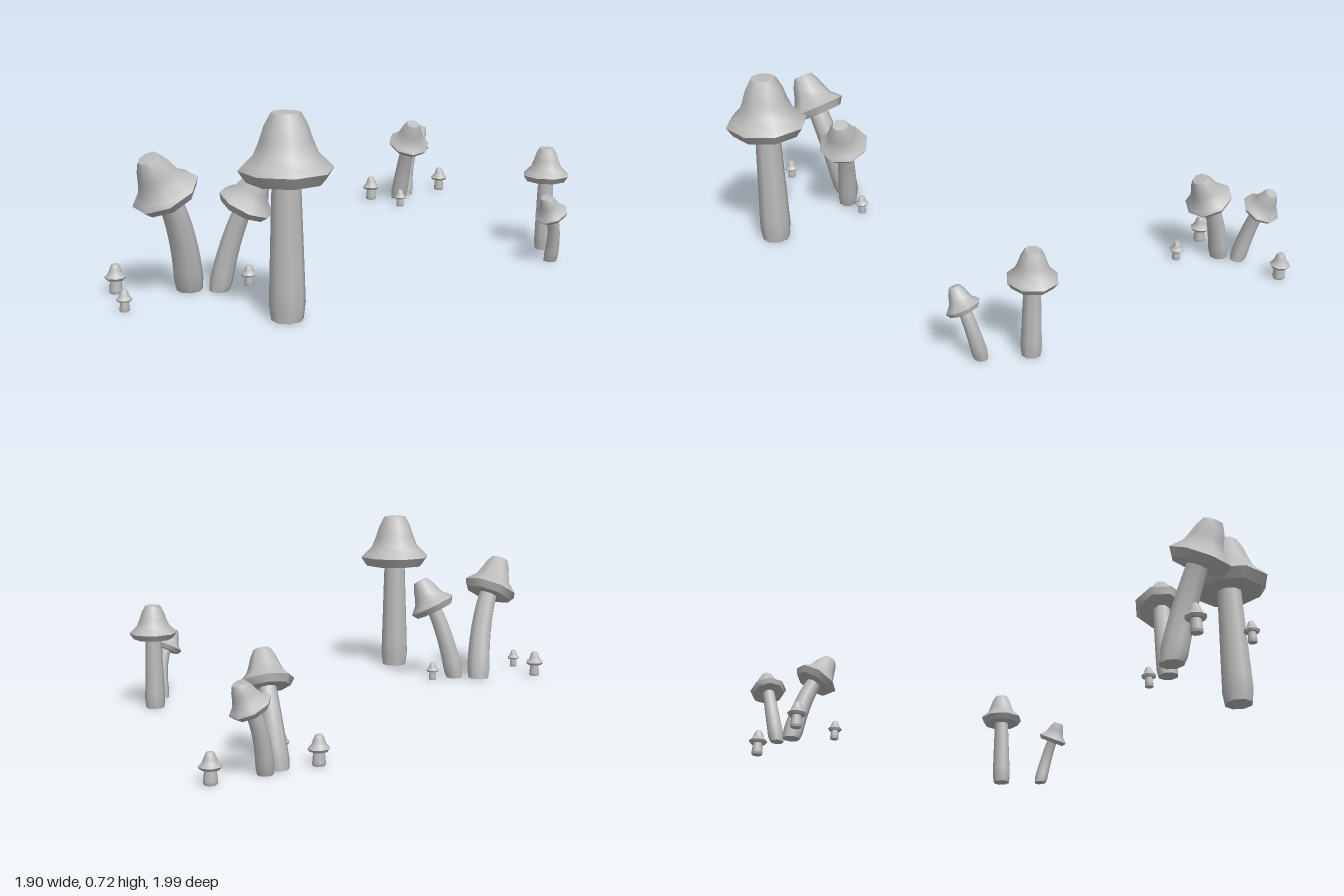
import * as THREE from 'three';
import { toCreasedNormals } from 'three/addons/utils/BufferGeometryUtils.js';

const SIDES = 8;
const UP = new THREE.Vector3(0, 1, 0);

// Bell-shaped cap, closed below, with its rim at y = 0
function capGeometry(r) {
  const profile = [
    [0, -0.25], [0.83, -0.25], [1, 0], [0.88, 0.13], [0.68, 0.32],
    [0.56, 0.6], [0.46, 0.9], [0.31, 1.17], [0, 1.18],
  ].map(([x, y]) => new THREE.Vector2(x * r, y * r));
  return toCreasedNormals(new THREE.LatheGeometry(profile, SIDES), 1.0);
}

// Tapering stem whose rings follow a curve from the ground into the cap
function stemGeometry(base, top, axis, r) {
  const bend = top.clone().addScaledVector(axis, -0.45 * top.y);
  const curve = new THREE.QuadraticBezierCurve3(base, bend, top);
  const geo = new THREE.CylinderGeometry(1, 1, 1, SIDES, 10);
  const pos = geo.attributes.position;
  const p = new THREE.Vector3();
  const turn = new THREE.Quaternion();
  for (let i = 0; i < pos.count; i++) {
    p.fromBufferAttribute(pos, i);
    const t = THREE.MathUtils.clamp(p.y + 0.5, 0, 1);
    const foot = t < 0.05 ? 0.86 : 1;
    const radius = r * foot * (1 - 0.26 * t);
    turn.setFromUnitVectors(UP, t < 0.05 ? UP : curve.getTangent(t));
    p.set(p.x * radius, 0, p.z * radius).applyQuaternion(turn).add(curve.getPoint(t));
    pos.setXYZ(i, p.x, p.y, p.z);
  }
  return toCreasedNormals(geo, 1.0);
}

export function createModel() {
  const model = new THREE.Group();
  model.name = 'mushroomPatch';
  const grey = new THREE.MeshStandardMaterial({ color: 0xbcbcbc });
  grey.name = 'grey';

  function addMushroom(name, base, rim, lean, capR, stemR) {
    const group = new THREE.Group();
    group.name = name;
    const axis = new THREE.Vector3(...lean).normalize();
    const rimCentre = new THREE.Vector3(...rim);
    const cap = new THREE.Mesh(capGeometry(capR), grey);
    cap.name = 'cap';
    cap.position.copy(rimCentre);
    cap.quaternion.setFromUnitVectors(UP, axis);
    const foot = new THREE.Vector3(base[0], 0, base[1]);
    const stem = new THREE.Mesh(stemGeometry(foot, rimCentre, axis, stemR), grey);
    stem.name = 'stem';
    group.add(cap, stem);
    model.add(group);
  }

  // Grown mushrooms: ground x z, rim centre, lean, cap radius, stem radius
  const grown = [
    ['tallMushroom', [-0.345, 0.83], [-0.345, 0.527, 0.83], [0, 1, 0], 0.165, 0.066],
    ['leftLeaningMushroom', [-0.642, 0.43], [-0.728, 0.4, 0.532], [-0.4, 0.88, 0.25], 0.127, 0.056],
    ['innerLeaningMushroom', [-0.535, 0.46], [-0.435, 0.335, 0.493], [0.4, 0.88, 0.18], 0.107, 0.044],
    ['sideMushroom', [0.85, 0.185], [0.85, 0.313, 0.185], [0, 1, 0], 0.096, 0.042],
    ['sideLeaningMushroom', [0.807, 0.36], [0.781, 0.212, 0.418], [-0.4, 0.87, 0.25], 0.067, 0.03],
    ['backMushroom', [0.5, -0.815], [0.525, 0.288, -0.728], [0.05, 0.87, 0.45], 0.097, 0.042],
    ['backLeaningMushroom', [0.555, -0.87], [0.61, 0.25, -0.922], [0.42, 0.88, -0.15], 0.077, 0.033],
  ];
  grown.forEach((m) => addMushroom(...m));

  // Young upright mushrooms: x, z, height
  const young = [
    [-0.91, 0.413, 0.11], [-0.888, 0.63, 0.08], [-0.42, 0.43, 0.08],
    [0.36, -0.81, 0.11], [0.46, -0.64, 0.08], [0.745, -0.94, 0.11],
  ];
  young.forEach(([x, z, h], i) => {
    const r = h * 0.37;
    addMushroom(`youngMushroom${i + 1}`, [x, z], [x, h - 1.18 * r, z], [0, 1, 0], r, h * 0.23);
  });

  return model;
}
